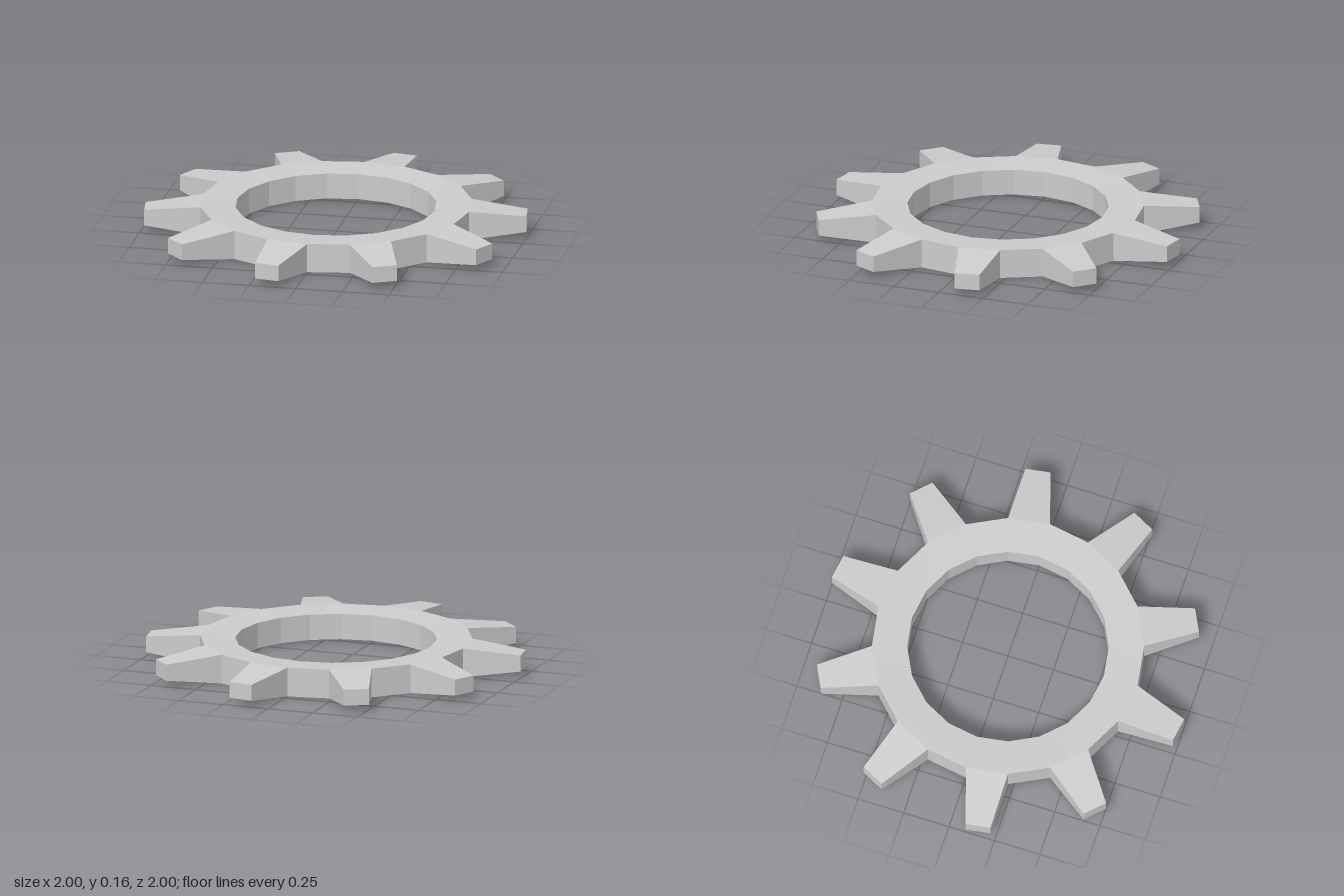
import * as THREE from 'three';
import { toCreasedNormals } from 'three/addons/utils/BufferGeometryUtils.js';

const TEETH = 10;
const STEP = Math.PI / TEETH; // teeth and gaps are equally wide
const MID = 0.0775;           // mid height of the gear

// each ring of the section: radius and half thickness
const BORE = { r: 0.528, h: 0.0685 };
const RIM = { r: 0.713, h: 0.0775 };
const TIP = { r: 1.004, h: 0.043 };

// corner pair (top and bottom) at an angle measured clockwise from the back
function corner(ring, angle) {
  const x = ring.r * Math.sin(angle), z = -ring.r * Math.cos(angle);
  return { top: [x, MID + ring.h, z], bottom: [x, MID - ring.h, z] };
}

// collects quads and turns them into a mesh
function builder() {
  const pos = [];
  const quad = (a, b, c, d) => pos.push(...a, ...b, ...c, ...a, ...c, ...d);
  return {
    // upright face between two neighbouring corners
    wall: (p, q) => quad(q.bottom, p.bottom, p.top, q.top),
    // upper and lower faces of a slab
    caps(in0, in1, out1, out0) {
      quad(in0.top, in1.top, out1.top, out0.top);
      quad(out0.bottom, out1.bottom, in1.bottom, in0.bottom);
    },
    mesh(name, material) {
      const geo = new THREE.BufferGeometry();
      geo.setAttribute('position', new THREE.Float32BufferAttribute(pos, 3));
      const mesh = new THREE.Mesh(toCreasedNormals(geo, 0.25), material);
      mesh.name = name;
      return mesh;
    },
  };
}

export function createModel() {
  const gear = new THREE.Group();
  gear.name = 'gear';
  const material = new THREE.MeshStandardMaterial({ color: 0xcccccc });

  // ring body, with rim walls only in the gaps between teeth
  const ring = builder();
  for (let i = 0; i < TEETH * 2; i++) {
    const a0 = i * STEP, a1 = a0 + STEP;
    const in0 = corner(BORE, a0), in1 = corner(BORE, a1);
    const out0 = corner(RIM, a0), out1 = corner(RIM, a1);
    ring.caps(in0, in1, out1, out0);
    ring.wall(in1, in0);
    if (i % 2) ring.wall(out0, out1);
  }
  gear.add(ring.mesh('ring', material));

  // teeth, narrowing and thinning towards the tip
  const inset = STEP * 0.29;
  for (let i = 0; i < TEETH; i++) {
    const a0 = i * 2 * STEP, a1 = a0 + STEP;
    const base0 = corner(RIM, a0), base1 = corner(RIM, a1);
    const tip0 = corner(TIP, a0 + inset), tip1 = corner(TIP, a1 - inset);
    const tooth = builder();
    tooth.caps(base0, base1, tip1, tip0);
    tooth.wall(base0, tip0);
    tooth.wall(tip0, tip1);
    tooth.wall(tip1, base1);
    gear.add(tooth.mesh('tooth' + (i + 1), material));
  }
  return gear;
}
